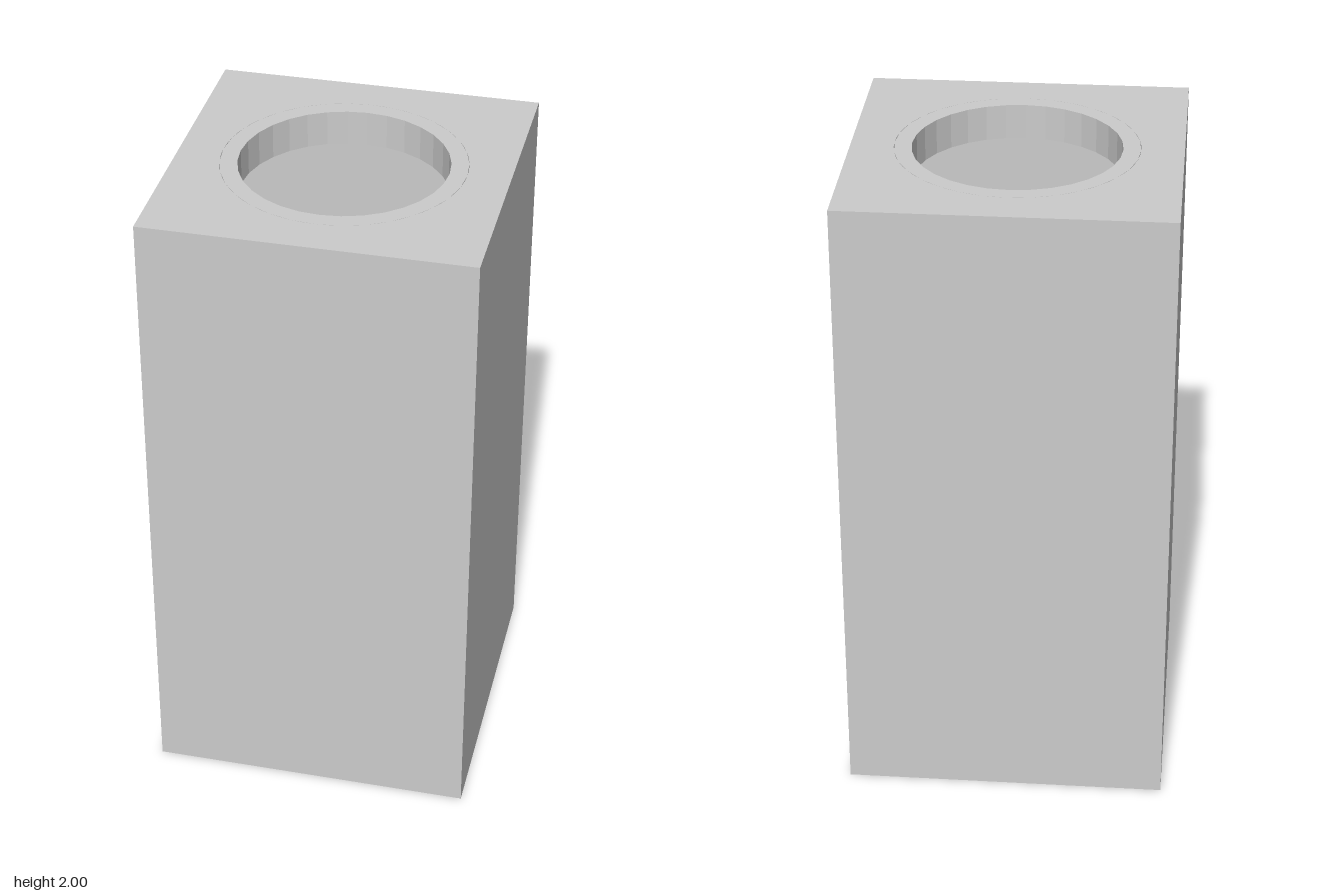
import * as THREE from 'three';

const HALF = 0.5, WALL = 0.05, HEIGHT = 2;
const HOLE_R = 0.317, COLLAR_R = 0.37, COLLAR_DEPTH = 0.11, SIDES = 32;

const material = new THREE.MeshStandardMaterial({ color: 0xcccccc, flatShading: true });

function square(half, Type = THREE.Shape) {
  return new Type([[-1, -1], [1, -1], [1, 1], [-1, 1]]
    .map(([x, y]) => new THREE.Vector2(x * half, y * half)));
}

// Extrudes a plan outline upward from y
function slab(name, shape, y, height) {
  const geometry = new THREE.ExtrudeGeometry(shape, { depth: height, bevelEnabled: false, curveSegments: SIDES });
  geometry.rotateX(-Math.PI / 2);
  const mesh = new THREE.Mesh(geometry, material);
  mesh.name = name;
  mesh.position.y = y;
  return mesh;
}

export function createModel() {
  const model = new THREE.Group();
  model.name = 'bin';

  // Floor and hollow square body
  model.add(slab('floor', square(HALF), 0, WALL));
  const walls = square(HALF);
  walls.holes.push(square(HALF - WALL, THREE.Path));
  model.add(slab('walls', walls, WALL, HEIGHT - 2 * WALL));

  // Lid with a round opening
  const lid = square(HALF);
  lid.holes.push(new THREE.Path().absarc(0, 0, COLLAR_R, 0, Math.PI * 2, true));
  model.add(slab('lid', lid, HEIGHT - WALL, WALL));

  // Collar set flush in the lid and reaching down inside
  const low = HEIGHT - COLLAR_DEPTH;
  const profile = [
    [HOLE_R, low], [COLLAR_R, low], [COLLAR_R, HEIGHT], [HOLE_R, HEIGHT], [HOLE_R, low],
  ].map(([r, y]) => new THREE.Vector2(r, y));
  const collar = new THREE.Mesh(new THREE.LatheGeometry(profile, SIDES), material);
  collar.name = 'collar';
  model.add(collar);

  return model;
}
